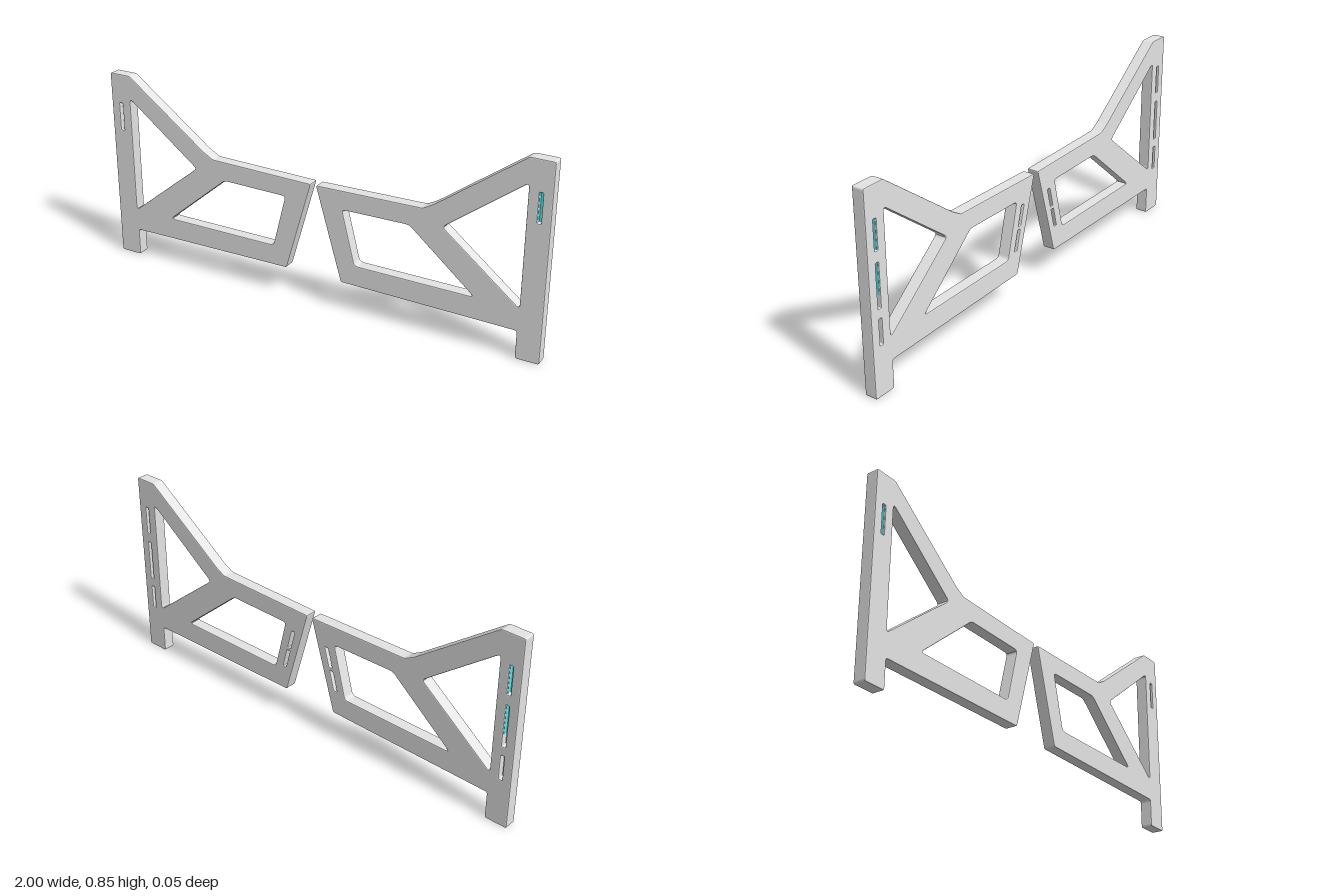
import * as THREE from 'three';

const grey = new THREE.MeshStandardMaterial({ color: 0xe4e4e4 });
grey.name = 'light grey';
const teal = new THREE.MeshStandardMaterial({ color: 0x5fe0e4 });
teal.name = 'teal';

const BEVEL = 0.004;
const HALF = 0.0262; // half thickness
const POST = 0.953; // slot line on the post
const SLOT = 0.016; // slot width

// Closed path with softly rounded corners; s = -1 mirrors it in x
// and reverses it so that the winding is kept.
function rounded(points, r, s, path) {
  const p = points.map(([x, y]) => new THREE.Vector2(x * s, y));
  if (s < 0) p.reverse();
  p.forEach((c, i) => {
    const prev = p[(i + p.length - 1) % p.length];
    const next = p[(i + 1) % p.length];
    const a = c.clone().add(prev.clone().sub(c).setLength(r));
    const b = c.clone().add(next.clone().sub(c).setLength(r));
    if (i === 0) path.moveTo(a.x, a.y);
    else path.lineTo(a.x, a.y);
    path.quadraticCurveTo(c.x, c.y, b.x, b.y);
  });
  path.closePath();
  return path;
}

// Narrow slot running between two centre points.
function slot([x1, y1], [x2, y2]) {
  const h = SLOT / 2;
  return [[x1 - h, y1], [x1 + h, y1], [x2 + h, y2], [x2 - h, y2]];
}

const outline = [
  [0.9, 0], [1, 0], [1, 0.845], [0.9, 0.845], [0.53, 0.572], [0.485, 0.547],
  [0.012, 0.538], [0.13, 0.13], [0.9, 0.122],
];
const windows = [
  [[0.904, 0.741], [0.572, 0.487], [0.904, 0.221]],
  [[0.133, 0.457], [0.43, 0.461], [0.716, 0.22], [0.193, 0.22]],
];
const throughSlot = slot([POST, 0.59], [POST, 0.715]);
const backSlots = [
  slot([POST, 0.36], [POST, 0.545]),
  slot([POST, 0.21], [POST, 0.32]),
  slot([0.091, 0.43], [0.114, 0.342]),
  slot([0.118, 0.328], [0.141, 0.24]),
];

// Bevelled slab between two depths with the given openings.
function layer(name, z0, z1, slots, s) {
  const shape = rounded(outline, 0.009, s, new THREE.Shape());
  for (const w of windows) shape.holes.push(rounded(w, 0.016, s, new THREE.Path()));
  for (const w of slots) shape.holes.push(rounded(w, 0.004, s, new THREE.Path()));
  const geo = new THREE.ExtrudeGeometry(shape, {
    depth: z1 - z0 - 2 * BEVEL, curveSegments: 4,
    bevelEnabled: true, bevelThickness: BEVEL, bevelSize: BEVEL,
    bevelOffset: -BEVEL, bevelSegments: 2,
  });
  geo.translate(0, 0, z0 + BEVEL);
  const mesh = new THREE.Mesh(geo, grey);
  mesh.name = name;
  return mesh;
}

// Thin coloured plate inside a post slot, between two heights and two depths.
function strip(name, x, width, y0, y1, z0, z1, s) {
  const mesh = new THREE.Mesh(new THREE.BoxGeometry(width, y1 - y0, z1 - z0), teal);
  mesh.name = name;
  mesh.position.set(x * s, (y0 + y1) / 2, (z0 + z1) / 2);
  return mesh;
}

function gate(name, s) {
  const group = new THREE.Group();
  group.name = name;
  const innerWall = POST - SLOT / 2;
  group.add(
    // The overlapping slabs leave the back slots closed at half depth
    layer('frontFrame', 0, HALF, [throughSlot], s),
    layer('backFrame', -HALF, 0.015, [throughSlot, ...backSlots], s),
    // Teal floors and inner-wall linings of the two upper post slots
    strip('upperFloor', POST, 0.02, 0.588, 0.717, -0.002, 0.002, s),
    strip('upperLining', innerWall, 0.002, 0.592, 0.713, -0.021, 0.021, s),
    strip('lowerFloor', POST, 0.02, 0.41, 0.547, -0.002, 0.002, s),
    strip('lowerLining', innerWall, 0.002, 0.41, 0.543, -0.021, 0, s),
  );
  return group;
}

export function createModel() {
  const model = new THREE.Group();
  model.name = 'gatePair';
  model.add(gate('leftGate', 1), gate('rightGate', -1));
  return model;
}
